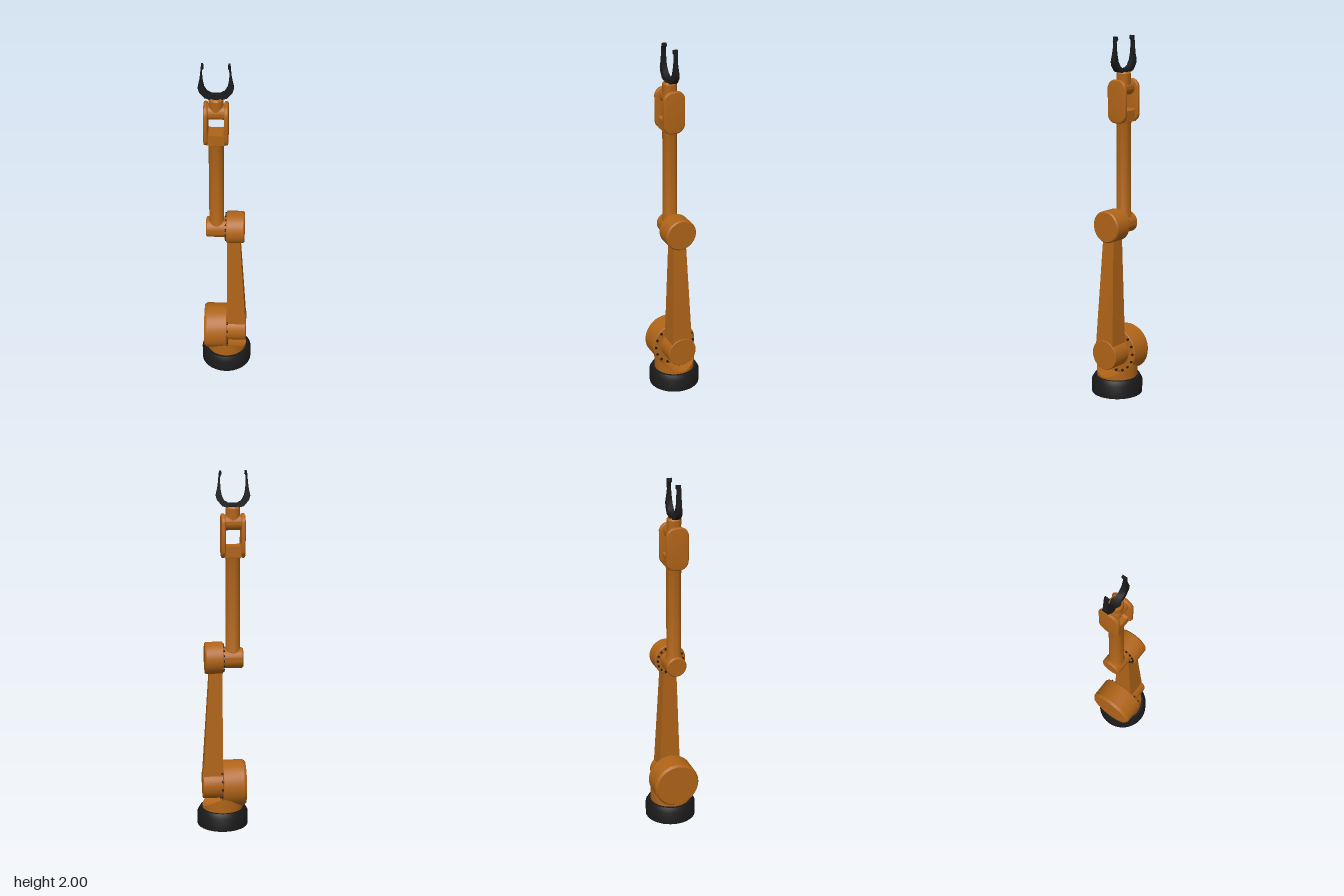
import * as THREE from 'three';
import { toCreasedNormals } from 'three/addons/utils/BufferGeometryUtils.js';

const orange = new THREE.MeshStandardMaterial({ color: 0xb06418 });
const black = new THREE.MeshStandardMaterial({ color: 0x1a1a1a });
const WRIST_X = -0.055;

export function createModel() {
  const model = new THREE.Group();

  const add = (name, geometry, material, x = 0, y = 0, z = 0) => {
    const mesh = new THREE.Mesh(toCreasedNormals(geometry, 0.6), material);
    mesh.name = name;
    mesh.position.set(x, y, z);
    model.add(mesh);
    return mesh;
  };
  const lathe = (points, sides = 40) =>
    new THREE.LatheGeometry(points.map(([r, y]) => new THREE.Vector2(r, y)), sides);
  // Drum lying along x, with chamfers (run, drop) at its low and high ends
  const drum = (r, x0, x1, low = [0.003, 0.003], high = [0.003, 0.003]) =>
    lathe([[0, x0], [r - low[1], x0], [r, x0 + low[0]], [r, x1 - high[0]],
      [r - high[1], x1], [0, x1]]).rotateZ(-Math.PI / 2);
  // Ring of bolt heads around an x axis
  const boltRing = (name, x, y, ringRadius, boltRadius, count) => {
    const ring = new THREE.Group();
    ring.name = name;
    const head = new THREE.CylinderGeometry(boltRadius, boltRadius, 0.014, 8).rotateZ(Math.PI / 2);
    for (let i = 0; i < count; i++) {
      const a = (i / count) * Math.PI * 2;
      const bolt = new THREE.Mesh(head, black);
      bolt.name = 'bolt';
      bolt.position.set(x, y + Math.cos(a) * ringRadius, Math.sin(a) * ringRadius);
      ring.add(bolt);
    }
    model.add(ring);
  };

  // Foot
  add('base', lathe([[0, 0], [0.143, 0], [0.143, 0.074], [0.128, 0.1], [0, 0.1]]), black);

  // Turntable whose top is a saddle following the shoulder drum
  const saddleY = (z) => 0.24 - Math.sqrt(0.13 ** 2 - z * z);
  const wall = new THREE.CylinderGeometry(0.115, 0.115, 1, 48, 1, true);
  const wp = wall.attributes.position;
  for (let i = 0; i < wp.count; i++) wp.setY(i, wp.getY(i) > 0 ? saddleY(wp.getZ(i)) : 0.09);
  add('turntableWall', wall, orange);
  const top = new THREE.RingGeometry(0.0001, 0.115, 48, 8).rotateX(-Math.PI / 2);
  const tp = top.attributes.position;
  for (let i = 0; i < tp.count; i++) tp.setY(i, saddleY(tp.getZ(i)));
  top.computeVertexNormals();
  add('turntableSaddle', top, orange);

  // Shoulder
  add('shoulderDrum', drum(0.13, -0.128, 0.003, [0.014, 0.01]), orange, 0, 0.24);
  boltRing('shoulderBolts', 0.004, 0.24, 0.117, 0.007, 16);
  add('shoulderBoss', drum(0.085, 0, 0.114), orange, 0, 0.24);

  // Tapered upper arm: height, outer x, half depth
  const levels = [[0.24, 0.112, 0.063], [0.3, 0.112, 0.06], [0.93, 0.074, 0.036]];
  const arm = new THREE.BoxGeometry(1, 2, 1, 1, 2, 1);
  const ap = arm.attributes.position;
  for (let i = 0; i < ap.count; i++) {
    const [y, x, z] = levels[Math.round(ap.getY(i)) + 1];
    ap.setXYZ(i, ap.getX(i) > 0 ? x : 0.003, y, Math.sign(ap.getZ(i)) * z);
  }
  arm.computeVertexNormals();
  add('upperArm', arm, orange);

  // Elbow
  add('elbowDrum', drum(0.089, 0, 0.1, [0.003, 0.003], [0.007, 0.007]), orange, 0, 0.974);
  boltRing('elbowBolts', -0.001, 0.974, 0.074, 0.006, 16);
  add('elbowHub', drum(0.057, -0.112, 0.002, [0.007, 0.006]), orange, 0, 0.973);

  // Forearm tube with small flares
  add('forearm', lathe([[0, 0.98], [0.046, 1.0], [0.045, 1.02], [0.04, 1.035], [0.04, 1.525],
    [0.045, 1.545], [0, 1.545]], 32), orange, WRIST_X);

  // Wrist fork: two rounded plates on a bridge
  const w = 0.063, h = 0.118, c = 0.042;
  const plateShape = new THREE.Shape();
  plateShape.moveTo(-w + c, -h);
  plateShape.lineTo(w - c, -h);
  plateShape.quadraticCurveTo(w - 0.008, -h + 0.008, w, -h + c);
  plateShape.lineTo(w, h - c);
  plateShape.quadraticCurveTo(w - 0.008, h - 0.008, w - c, h);
  plateShape.lineTo(-w + c, h);
  plateShape.quadraticCurveTo(-w + 0.008, h - 0.008, -w, h - c);
  plateShape.lineTo(-w, -h + c);
  plateShape.quadraticCurveTo(-w + 0.008, -h + 0.008, -w + c, -h);
  const plate = new THREE.ExtrudeGeometry(plateShape, {
    depth: 0.006, bevelThickness: 0.008, bevelSize: 0.008, bevelOffset: -0.008,
    bevelSegments: 3, curveSegments: 6,
  }).translate(0, 0, -0.003).rotateY(Math.PI / 2);
  for (const side of [-1, 1])
    add(side < 0 ? 'wristPlateRight' : 'wristPlateLeft', plate, orange, WRIST_X + side * 0.0535, 1.652);

  const bridgeShape = new THREE.Shape();
  bridgeShape.moveTo(-0.05, 1.54);
  bridgeShape.lineTo(0.05, 1.54);
  bridgeShape.lineTo(0.05, 1.615);
  bridgeShape.lineTo(0.043, 1.615);
  bridgeShape.quadraticCurveTo(0.043, 1.6, 0.028, 1.6);
  bridgeShape.lineTo(-0.028, 1.6);
  bridgeShape.quadraticCurveTo(-0.043, 1.6, -0.043, 1.615);
  bridgeShape.lineTo(-0.05, 1.615);
  add('wristBridge', new THREE.ExtrudeGeometry(bridgeShape, { depth: 0.088, bevelEnabled: false }),
    orange, WRIST_X, 0, -0.044);

  // Hand pivot and neck
  add('handPivot', drum(0.042, -0.047, 0.047), orange, WRIST_X, 1.724);
  add('handNeck', lathe([[0, 1.72], [0.039, 1.72], [0.039, 1.8], [0.032, 1.81], [0, 1.81]], 32),
    orange, WRIST_X);
  add('handFlange', lathe([[0, 1.8], [0.028, 1.8], [0.028, 1.816], [0, 1.816]], 24), black, WRIST_X);

  // Gripper: one half outline mirrored, thinned toward the tips
  const outer = [[0.03, 1.805], [0.058, 1.813], [0.085, 1.845], [0.092, 1.868], [0.085, 1.9],
    [0.079, 1.94], [0.076, 1.978], [0.073, 2.0]];
  const inner = [[0.064, 2.0], [0.061, 1.983], [0.068, 1.972], [0.069, 1.94], [0.066, 1.9],
    [0.06, 1.868], [0.045, 1.84], [0.022, 1.827]];
  const half = [...outer, ...inner];
  const outline = [...half, ...half.slice().reverse().map(([x, y]) => [-x, y])];
  const gripper = new THREE.ExtrudeGeometry(
    new THREE.Shape(outline.map(([x, y]) => new THREE.Vector2(x, y))),
    { depth: 2, bevelEnabled: false }).translate(0, 0, -1);
  const gp = gripper.attributes.position;
  for (let i = 0; i < gp.count; i++) {
    const y = gp.getY(i);
    const t = Math.min((y - 1.805) / 0.167, 1);
    gp.setZ(i, gp.getZ(i) * (y > 1.975 ? 0.013 : 0.019 - 0.011 * t));
  }
  gripper.computeVertexNormals();
  add('gripper', gripper, black, WRIST_X);

  return model;
}
